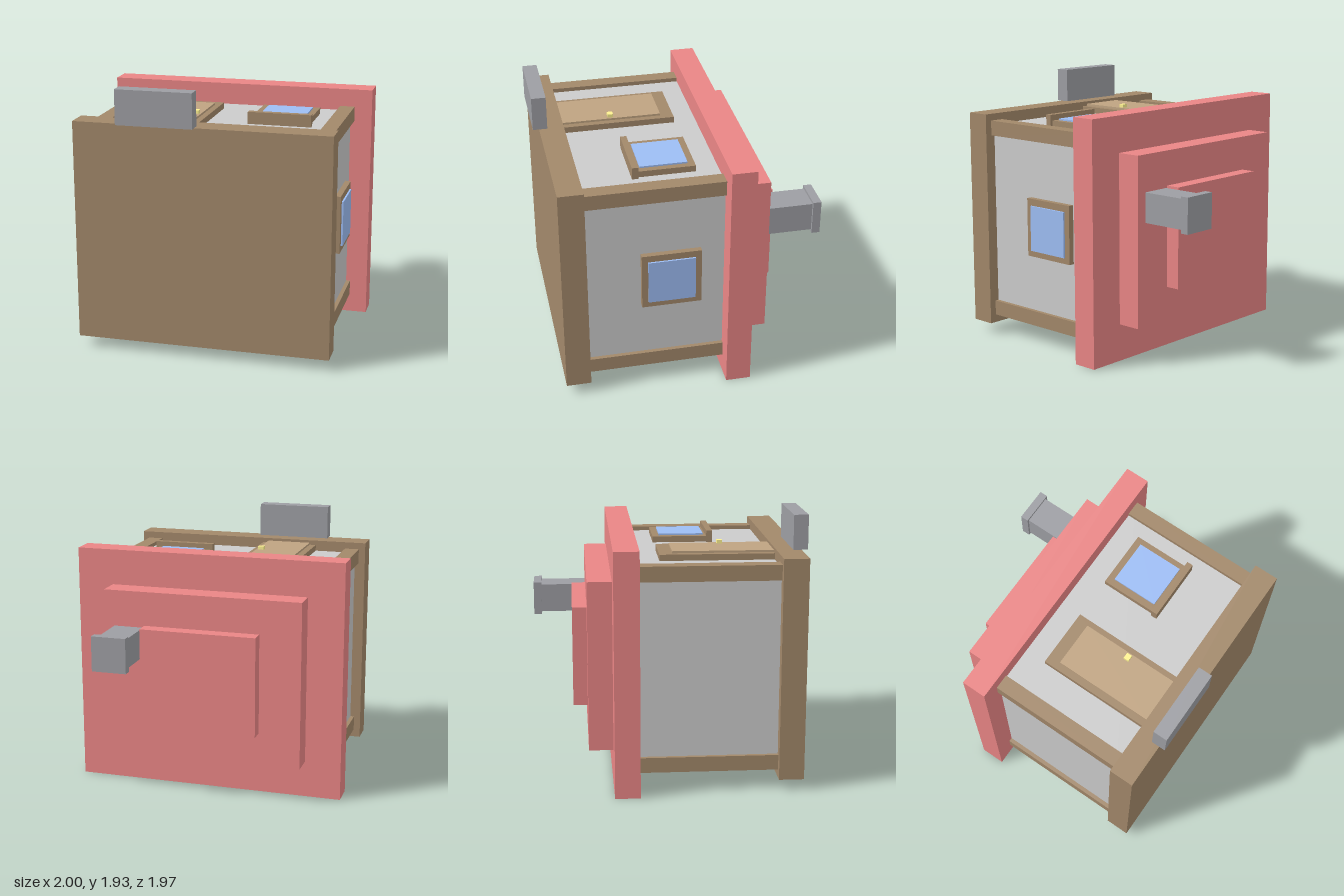
import * as THREE from 'three';

const mat = (color) => new THREE.MeshStandardMaterial({ color });

// A toy house lying on its back: door side up (+y), base to +z, roof to -z.
export function createModel() {
  const house = new THREE.Group();
  house.name = 'house';
  const wall = mat(0xcccccc), wood = mat(0xa2886a), doorWood = mat(0xbfa381);
  const roof = mat(0xe98585), glass = mat(0x9dbdf4), stone = mat(0x9d9ea3), brass = mat(0xfdf191);

  // Box from its [min, max] extents on each axis
  const box = (name, material, [x0, x1], [y0, y1], [z0, z1]) => {
    const mesh = new THREE.Mesh(new THREE.BoxGeometry(x1 - x0, y1 - y0, z1 - z0), material);
    mesh.position.set((x0 + x1) / 2, (y0 + y1) / 2, (z0 + z1) / 2);
    mesh.name = name;
    house.add(mesh);
  };

  // Base, doorstep and walls
  box('base', wood, [-0.92, 0.92], [0.08, 1.68], [0.76, 0.94]);
  box('doorStep', stone, [-0.59, -0.04], [1.68, 1.93], [0.88, 0.985]);
  box('walls', wall, [-0.84, 0.84], [0.165, 1.6], [-0.23, 0.76]);

  // Corner posts
  for (const x of [[-0.87, -0.76], [0.76, 0.87]])
    for (const y of [[0.14, 0.25], [1.52, 1.63]])
      box('cornerPost', wood, x, y, [-0.23, 0.76]);

  // Stepped roof
  box('roofEaves', roof, [-1, 1], [0, 1.76], [-0.41, -0.23]);
  box('roofMiddle', roof, [-0.735, 0.735], [0.27, 1.5], [-0.585, -0.41]);
  box('roofTop', roof, [-0.43, 0.43], [0.515, 1.25], [-0.69, -0.585]);

  // Chimney
  box('chimney', stone, [0.44, 0.66], [1.02, 1.235], [-0.925, -0.585]);
  box('chimneyCap', stone, [0.425, 0.68], [1, 1.255], [-0.985, -0.925]);

  // Door
  box('doorFrame', wood, [-0.525, -0.095], [1.59, 1.645], [-0.065, 0.76]);
  box('door', doorWood, [-0.475, -0.14], [1.6, 1.66], [0.03, 0.76]);
  box('doorKnob', brass, [-0.2, -0.155], [1.65, 1.685], [0.38, 0.42]);

  // Front window
  box('frontWindowFrame', wood, [0.215, 0.64], [1.59, 1.645], [-0.065, 0.35]);
  box('frontWindowGlass', glass, [0.265, 0.595], [1.6, 1.657], [-0.015, 0.325]);
  box('frontWindowSill', wood, [0.2, 0.66], [1.59, 1.688], [0.345, 0.39]);

  // Side window, on the left wall only
  box('sideWindowFrame', wood, [0.83, 0.882], [0.67, 1.1], [-0.06, 0.37]);
  box('sideWindowGlass', glass, [0.84, 0.895], [0.715, 1.05], [-0.015, 0.325]);

  return house;
}
